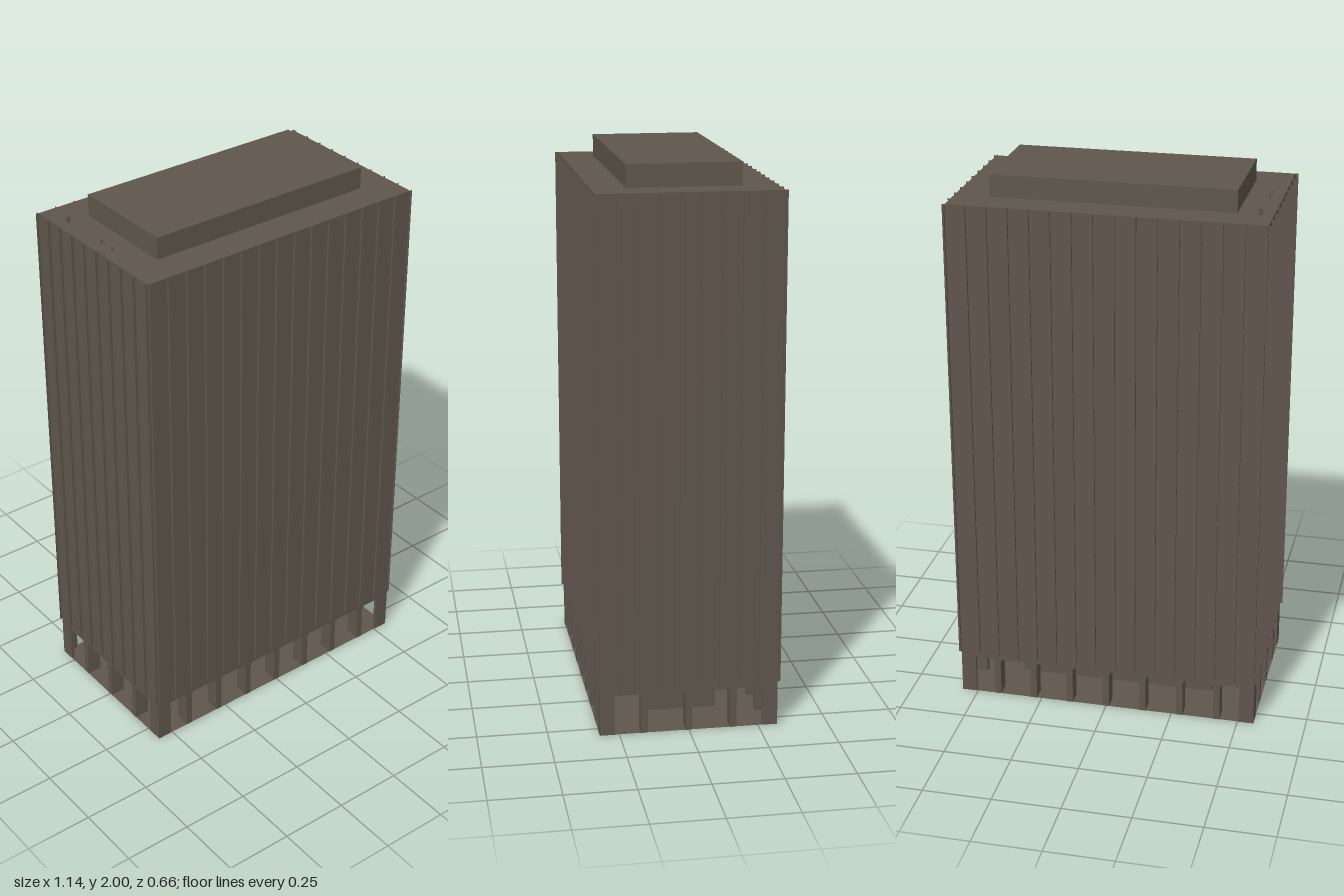
import * as THREE from 'three';

const W = 1.12, D = 0.64;          // tower footprint
const BASE = 0.165, ROOF = 1.92;   // arcade top and roof level
const INSET = 0.19;                // arcade depth in front of the core

export function createModel() {
  const model = new THREE.Group();
  model.name = 'officeTower';

  const stone = new THREE.MeshStandardMaterial({ color: 0x5f564c });
  stone.name = 'brownStone';
  stone.side = THREE.DoubleSide;

  const add = (name, geometry, x = 0, y = 0, z = 0, parent = model) => {
    const mesh = new THREE.Mesh(geometry, stone);
    mesh.name = name;
    mesh.position.set(x, y, z);
    parent.add(mesh);
    return mesh;
  };

  // Shaft and penthouse
  add('shaft', new THREE.BoxGeometry(W, ROOF - BASE, D), 0, (ROOF + BASE) / 2, 0);
  add('penthouse', new THREE.BoxGeometry(0.87, 2 - ROOF, 0.4), 0, (2 + ROOF) / 2, 0);

  // Paper-thin vertical fins on all four facades
  const fins = new THREE.Group();
  fins.name = 'facadeFins';
  model.add(fins);
  const finDepth = 0.01;
  const fin = new THREE.PlaneGeometry(finDepth, ROOF - BASE);
  const finY = (ROOF + BASE) / 2;
  for (const side of [-1, 1]) {
    for (let i = 0; i <= 15; i++) {
      const f = add('longSideFin', fin, -W / 2 + (i * W) / 15, finY, side * (D + finDepth) / 2, fins);
      f.rotation.y = Math.PI / 2;
    }
    for (let i = 0; i <= 9; i++) {
      add('shortSideFin', fin, side * (W + finDepth) / 2, finY, -D / 2 + (i * D) / 9, fins);
    }
  }

  // Arcade wall with a row of openings that have clipped top corners
  const arcadeWall = (length, bays) => {
    const pitch = length / bays, post = 0.012, top = 0.147, clip = 0.008;
    const s = new THREE.Shape();
    s.moveTo(-length / 2, 0);
    for (let i = 0; i < bays; i++) {
      const a = -length / 2 + i * pitch + post;
      const b = -length / 2 + (i + 1) * pitch - post;
      s.lineTo(a, 0);
      s.lineTo(a, top - clip);
      s.lineTo(a + clip, top);
      s.lineTo(b - clip, top);
      s.lineTo(b, top - clip);
      s.lineTo(b, 0);
    }
    s.lineTo(length / 2, 0);
    s.lineTo(length / 2, BASE);
    s.lineTo(-length / 2, BASE);
    s.closePath();
    const depth = 0.055;
    return new THREE.ExtrudeGeometry(s, { depth, bevelEnabled: false }).translate(0, 0, -depth);
  };
  const longWall = arcadeWall(W, 8), shortWall = arcadeWall(D, 4);
  for (const side of [-1, 1]) {
    add('longArcade', longWall, 0, 0, side * D / 2).rotation.y = side > 0 ? 0 : Math.PI;
    add('shortArcade', shortWall, side * W / 2, 0, 0).rotation.y = side * Math.PI / 2;
  }

  // Recessed core, hollow from below
  const coreW = W - 2 * INSET, coreD = D - 2 * INSET;
  const longCore = new THREE.PlaneGeometry(coreW, BASE);
  const shortCore = new THREE.PlaneGeometry(coreD, BASE);
  for (const side of [-1, 1]) {
    add('coreLongWall', longCore, 0, BASE / 2, side * coreD / 2).rotation.y = side > 0 ? 0 : Math.PI;
    add('coreShortWall', shortCore, side * coreW / 2, BASE / 2, 0).rotation.y = side * Math.PI / 2;
  }

  // Arcade floor around the core
  const rect = (Type, w, d) => new Type([
    new THREE.Vector2(-w / 2, -d / 2), new THREE.Vector2(w / 2, -d / 2),
    new THREE.Vector2(w / 2, d / 2), new THREE.Vector2(-w / 2, d / 2),
  ]);
  const floor = rect(THREE.Shape, W, D);
  floor.holes.push(rect(THREE.Path, coreW, coreD));
  add('arcadeFloor', new THREE.ShapeGeometry(floor).rotateX(-Math.PI / 2), 0, 0.001, 0);

  // Small vent pipes on the roof
  for (const [z, r, h] of [[-0.205, 0.006, 0.022], [-0.007, 0.004, 0.014], [0.053, 0.004, 0.014]]) {
    add('roofVent', new THREE.CylinderGeometry(r, r, h, 12), -0.515, ROOF + h / 2, z);
  }

  return model;
}
